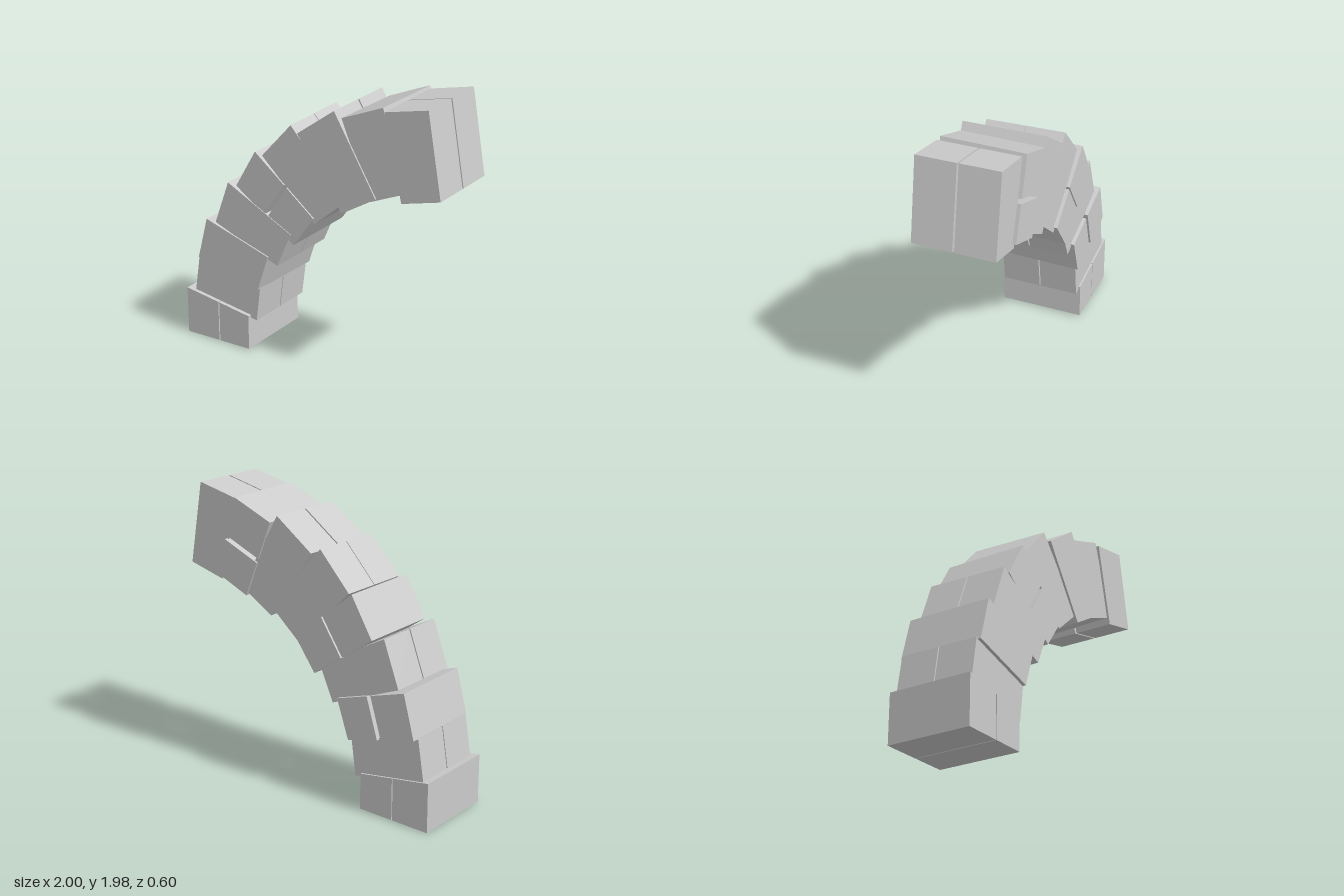
import * as THREE from 'three';

// Each course of the arch: outer and inner corners [x, y] at its lower and upper joint,
// back and front z, how it is split, gap of the split at the back and front,
// and the shift of the outer / inner back edge (slight skew of hand-laid stone).
const courses = [
  { ob: [-1, 0], ib: [-0.47, 0.01], oe: [-1, 0.34], ie: [-0.47, 0.26], z: [-0.285, 0.3], split: 'radial', gap: [0.006, 0.008] },
  { ob: [-0.945, 0.33], ib: [-0.42, 0.23], oe: [-0.9, 0.61], ie: [-0.385, 0.49], z: [-0.272, 0.272], split: 'depth', gap: [0.008, 0.008], outer: [-0.01, 0] },
  { ob: [-0.89, 0.6], ib: [-0.39, 0.475], oe: [-0.81, 0.9], ie: [-0.3, 0.74], z: [-0.295, 0.295], split: 'radial', gap: [0.03, 0], inner: [0.015, 0] },
  { ob: [-0.74, 0.89], ib: [-0.23, 0.69], oe: [-0.625, 1.2], ie: [-0.12, 0.94], z: [-0.27, 0.285], split: 'depth', gap: [0.01, 0.01], outer: [-0.01, 0.01] },
  { ob: [-0.56, 1.19], ib: [-0.1, 0.87], oe: [-0.4, 1.46], ie: [0.06, 1.09], z: [-0.297, 0.28], split: 'radial', gap: [0.012, 0.022] },
  { ob: [-0.35, 1.44], ib: [0.06, 1.05], oe: [-0.12, 1.69], ie: [0.28, 1.24], z: [-0.272, 0.27], split: 'depth', gap: [0.006, 0.006], outer: [-0.01, 0.01] },
  { ob: [-0.06, 1.65], ib: [0.28, 1.18], oe: [0.22, 1.85], ie: [0.53, 1.33], z: [-0.278, 0.285], split: 'depth', gap: [0.012, 0.012], outer: [0, 0.01] },
  { ob: [0.27, 1.81], ib: [0.485, 1.3], oe: [0.57, 1.93], ie: [0.745, 1.41], z: [-0.29, 0.275], split: 'radial', gap: [0.03, 0], inner: [0, -0.02] },
  { ob: [0.59, 1.91], ib: [0.72, 1.345], oe: [0.895, 1.975], ie: [0.995, 1.415], z: [-0.265, 0.29], split: 'depth', gap: [0.012, 0.012], outer: [0, 0.008] },
];

const lerp = THREE.MathUtils.lerp;

// Point of a course: u runs outer to inner, v along the arch, w back to front.
function coursePoint(c, u, v, w) {
  const at = (k) => {
    const [o, i] = [c.outer ?? [0, 0], c.inner ?? [0, 0]];
    const outer = lerp(c.ob[k], c.oe[k], v) + o[k] * (1 - w);
    const inner = lerp(c.ib[k], c.ie[k], v) + i[k] * (1 - w);
    return lerp(outer, inner, u);
  };
  return [at(0), at(1), lerp(c.z[0], c.z[1], w)];
}

// One stone: a box whose corners are mapped into the wedge of its course.
function stone(c, half, material) {
  const box = new THREE.BoxGeometry(1, 1, 1).toNonIndexed();
  const p = box.attributes.position;
  for (let n = 0; n < p.count; n++) {
    let u = p.getX(n) + 0.5;
    const v = p.getY(n) + 0.5;
    let w = p.getZ(n) + 0.5;
    const cut = (g) => (half ? 0.52 + g : 0.52 - g);
    const atCut = (t) => (half ? t < 0.5 : t > 0.5);
    if (c.split === 'radial') {
      if (atCut(u)) u = cut(lerp(c.gap[0], c.gap[1], w) / 2 / 0.53);
    } else if (atCut(w)) {
      w = cut(c.gap[0] / 2 / 0.56) - 0.02;
    }
    p.setXYZ(n, ...coursePoint(c, u, v, w));
  }
  box.computeVertexNormals();
  return new THREE.Mesh(box, material);
}

export function createModel() {
  const model = new THREE.Group();
  model.name = 'halfArch';
  const material = new THREE.MeshStandardMaterial({ color: 0xcccccc, flatShading: true });
  courses.forEach((c, i) => {
    const course = new THREE.Group();
    course.name = `archCourse${i + 1}`;
    for (const half of [0, 1]) {
      const block = stone(c, half, material);
      const names = c.split === 'radial' ? ['outerStone', 'innerStone'] : ['backStone', 'frontStone'];
      block.name = names[half];
      course.add(block);
    }
    model.add(course);
  });
  return model;
}
